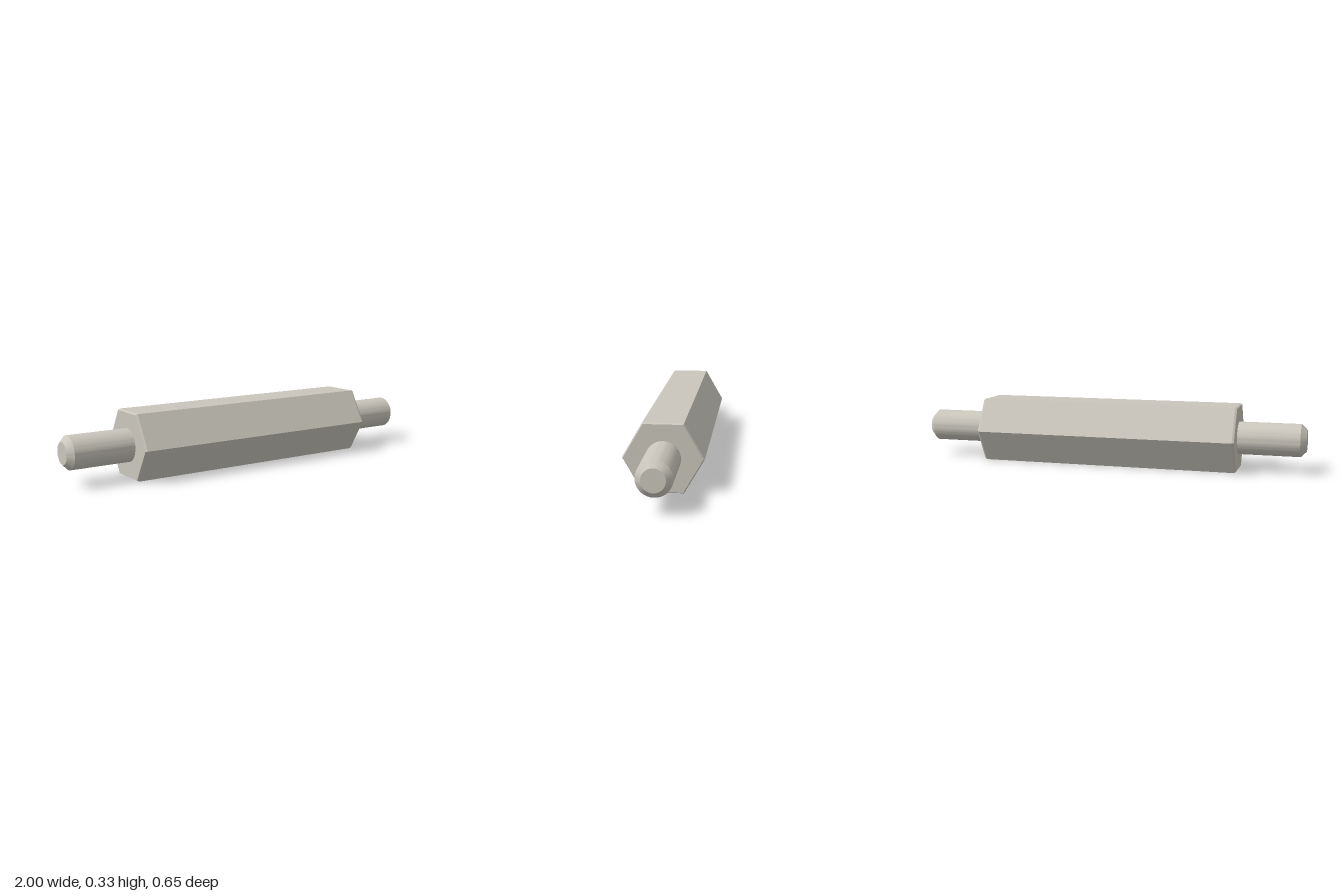
import * as THREE from 'three';
import { toCreasedNormals } from 'three/addons/utils/BufferGeometryUtils.js';

const HALF_BODY = 0.675, HALF_LENGTH = 1.011;
const HEX_RADIUS = 0.189, STUD_RADIUS = 0.082, TIP_RADIUS = 0.054;

// Turn a [radius, distance] profile around the x axis, with sharp creases
function turned(profile, sides) {
  const points = profile.map(([r, d]) => new THREE.Vector2(r, d));
  const geometry = new THREE.LatheGeometry(points, sides).rotateZ(-Math.PI / 2);
  return toCreasedNormals(geometry, 0.4);
}

export function createModel() {
  const metal = new THREE.MeshStandardMaterial({ color: 0xcac6bc });
  metal.name = 'warm grey metal';

  const model = new THREE.Group();
  model.name = 'hexStandoff';

  const rod = new THREE.Group();
  rod.name = 'rod';
  rod.position.y = HEX_RADIUS * Math.cos(Math.PI / 6);
  rod.rotation.y = -0.213;
  model.add(rod);

  // Hexagonal body with finely bevelled ends
  const inset = HEX_RADIUS - 0.006, bevel = HALF_BODY - 0.01;
  const body = new THREE.Mesh(turned([
    [0, -HALF_BODY], [inset, -HALF_BODY], [HEX_RADIUS, -bevel],
    [HEX_RADIUS, bevel], [inset, HALF_BODY], [0, HALF_BODY],
  ], 6), metal);
  body.name = 'hexBody';
  rod.add(body);

  // Round stud with a chamfered tip at each end
  const studGeometry = turned([
    [STUD_RADIUS, HALF_BODY - 0.01],
    [STUD_RADIUS, HALF_LENGTH - 0.028],
    [TIP_RADIUS, HALF_LENGTH],
    [0, HALF_LENGTH],
  ], 64);
  for (const [name, turn] of [['leftStud', 0], ['rightStud', Math.PI]]) {
    const stud = new THREE.Mesh(studGeometry, metal);
    stud.name = name;
    stud.rotation.y = turn;
    rod.add(stud);
  }

  return model;
}
